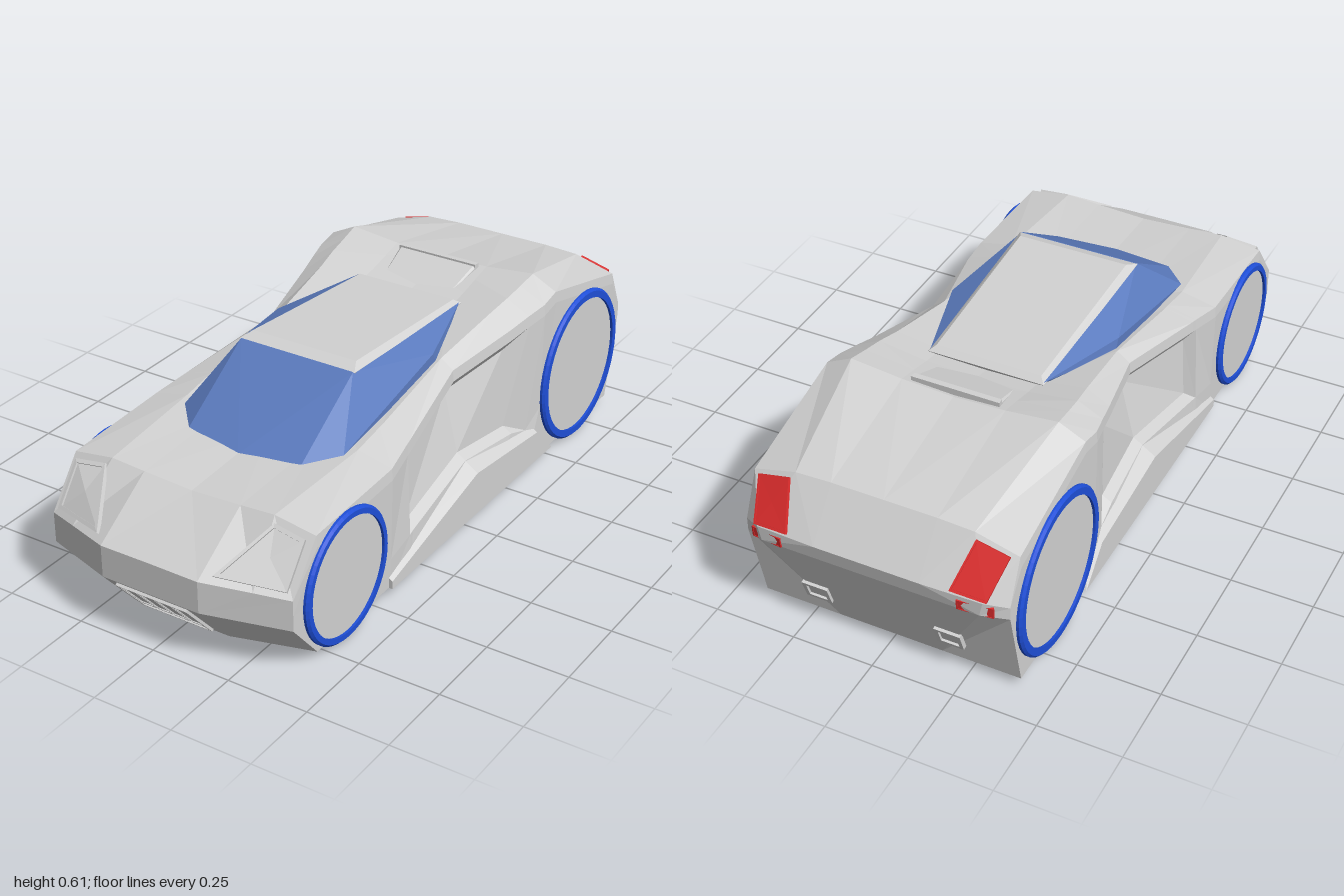
import * as THREE from 'three';
import { ConvexGeometry } from 'three/addons/geometries/ConvexGeometry.js';

const V = (x, y, z) => new THREE.Vector3(x, y, z);

// faceted geometry from a list of triangle corners
function facets(points) {
  const g = new THREE.BufferGeometry().setFromPoints(points);
  g.computeVertexNormals();
  return g;
}

// mirrored convex solid from points on the +x side
function hull(half) {
  const pts = [];
  for (const [x, y, z] of half) pts.push(V(x, y, z), V(-x, y, z));
  return new ConvexGeometry(pts);
}

// one half cross-section of the body, from the floor up to the centre line
function section(z, b, d, e, fy, gy, inset = 0, zFloor = z) {
  const c = [d[0] + 0.003, d[1] - 0.035];
  return [
    V(0.16, 0.03, zFloor), V(0.4, 0.03, z), V(b[0], b[1], z),
    V(b[0] - inset, b[1] + inset * 0.6, z), V(c[0] - inset, c[1] - inset * 1.3, z),
    V(c[0], c[1], z), V(d[0], d[1], z), V(e[0], e[1], z), V(0.16, fy, z), V(0, gy, z),
  ];
}

// blunt end of the body: a narrow upright band, bent back at the corners
function endSection(inner, corner, top, crest, middle, gy) {
  const side = [0, 0.25, 0.5, 0.75, 1].map((t) => V(corner[0], corner[1] + (top - corner[1]) * t, corner[2]));
  return [V(...inner), ...side, V(corner[0], top, corner[2]), V(...crest), V(...middle), V(0, gy, middle[2])];
}

function bodyGeometry() {
  const halves = [
    endSection([0.16, 0.18, 1], [0.4, 0.16, 0.91], 0.255, [0.3, 0.266, 0.948], [0.16, 0.279, 1], 0.28),
    section(0.8, [0.4, 0.2], [0.4, 0.397], [0.27, 0.417], 0.41, 0.402, 0, 0.87),
    section(0.43, [0.4, 0.12], [0.4, 0.412], [0.29, 0.437], 0.425, 0.42),
    section(0.32, [0.395, 0.14], [0.381, 0.43], [0.29, 0.455], 0.435, 0.43),
    section(0.3, [0.392, 0.143], [0.378, 0.433], [0.29, 0.458], 0.438, 0.432, 0.03),
    section(-0.03, [0.37, 0.2], [0.32, 0.485], [0.28, 0.515], 0.49, 0.48, 0.03),
    section(-0.28, [0.385, 0.175], [0.37, 0.522], [0.3, 0.56], 0.54, 0.535, 0.03),
    section(-0.36, [0.39, 0.15], [0.386, 0.538], [0.31, 0.577], 0.555, 0.55),
    section(-0.43, [0.4, 0.2], [0.4, 0.55], [0.315, 0.59], 0.572, 0.565),
    section(-0.5, [0.4, 0.2], [0.4, 0.565], [0.32, 0.605], 0.588, 0.58),
    section(-0.89, [0.4, 0.2], [0.4, 0.47], [0.27, 0.505], 0.51, 0.51),
    endSection([0.33, 0.32, -0.99], [0.4, 0.3, -0.95], 0.34, [0.34, 0.365, -0.99], [0.16, 0.37, -1], 0.37),
  ];
  const rings = halves.map((h) => [...h, ...h.slice(0, -1).reverse().map((p) => V(-p.x, p.y, p.z))]);
  const n = rings[0].length, last = n - 1, mid = last / 2, out = [];
  for (let i = 0; i < rings.length - 1; i++) {
    for (let j = 0; j < n; j++) {
      const k = (j + 1) % n;
      const a = rings[i][j], b = rings[i][k], c = rings[i + 1][k], d = rings[i + 1][j];
      // mirror the diagonal on the right half
      if (j < mid) out.push(a, d, c, a, c, b);
      else out.push(a, d, b, d, c, b);
    }
  }
  // end caps
  const cap = (r, flip) => {
    const tri = (a, b, c) => (flip ? out.push(r[a], r[c], r[b]) : out.push(r[a], r[b], r[c]));
    for (let k = 1; k < mid; k++) tri(0, k, k + 1);
    for (let k = mid; k < last - 1; k++) tri(last, k, k + 1);
    tri(0, mid, last);
  };
  cap(rings[0], false);
  cap(rings[rings.length - 1], true);
  return facets(out);
}

// raised rim around a plate; corners run counter-clockwise seen from outside
function framed(corners, inset, height, floor) {
  const centre = corners.reduce((s, p) => s.add(p), V(0, 0, 0)).divideScalar(corners.length);
  const normal = corners[2].clone().sub(corners[0]).cross(corners[3].clone().sub(corners[1])).normalize();
  const loop = (t, h) => corners.map((p) => p.clone().lerp(centre, t).addScaledVector(normal, h));
  const loops = [loop(0, -0.006), loop(0, height), loop(inset, height), loop(inset, floor), loop(1, floor)];
  const out = [];
  for (let i = 0; i < loops.length - 1; i++) {
    for (let j = 0; j < corners.length; j++) {
      const k = (j + 1) % corners.length;
      const a = loops[i][j], b = loops[i][k], c = loops[i + 1][k], d = loops[i + 1][j];
      out.push(a, b, c);
      if (i < loops.length - 2) out.push(a, c, d);
    }
  }
  return facets(out);
}

export function createModel() {
  const paint = new THREE.MeshStandardMaterial({ color: 0xd2d2d2 });
  paint.name = 'silver paint';
  const glass = new THREE.MeshStandardMaterial({ color: 0x5c7cc0 });
  glass.name = 'blue glass';
  const tyreBlue = new THREE.MeshStandardMaterial({ color: 0x1f4fd8 });
  tyreBlue.name = 'tyre blue';
  const red = new THREE.MeshStandardMaterial({ color: 0xdc2c2c });
  red.name = 'lamp red';

  const car = new THREE.Group();
  car.name = 'car';
  const add = (name, geometry, material, parent = car) => {
    const m = new THREE.Mesh(geometry, material);
    m.name = name;
    parent.add(m);
    return m;
  };
  // the same framed plate on both sides
  const pair = (name, corners, material, inset, height, floor) => {
    add(name + 'Left', framed(corners, inset, height, floor), material);
    const other = corners.map((p) => V(-p.x, p.y, p.z)).reverse();
    add(name + 'Right', framed(other, inset, height, floor), material);
  };

  add('body', bodyGeometry(), paint);

  // cabin
  add('windows', hull([
    [0, 0.41, 0.59], [0.19, 0.42, 0.56], [0.27, 0.433, 0.47], [0.27, 0.538, 0],
    [0.27, 0.5, -0.02], [0.18, 0.553, -0.3], [0.19, 0.59, 0.3], [0.15, 0.5, -0.3], [0.19, 0.39, 0.5],
  ]), glass);
  add('roof', hull([
    [0.175, 0.604, 0.26], [0.195, 0.589, 0.3], [0.165, 0.564, -0.29],
    [0.182, 0.55, -0.31], [0.182, 0.53, -0.3], [0.19, 0.575, 0.28],
  ]), paint);

  // engine cover ramp with a rim along its back and sides
  add('engineCover', hull([
    [0.112, 0.53, -0.3], [0.128, 0.592, -0.47], [0.137, 0.592, -0.49],
    [0.112, 0.5, -0.3], [0.137, 0.54, -0.49],
  ]), paint);
  add('engineCoverRim', hull([
    [0.135, 0.598, -0.472], [0.137, 0.598, -0.49], [0.135, 0.56, -0.472], [0.137, 0.56, -0.49],
  ]), paint);

  // side skirts
  const sill = [[0.03, 0.44], [0.055, 0.44], [0.17, -0.03], [0.13, -0.4], [0.03, -0.5]];
  for (const s of [1, -1]) {
    const pts = sill.flatMap(([y, z]) => [V(s * 0.412, y, z), V(s * 0.36, y + (y > 0.03 ? 0.035 : 0), z)]);
    add(s > 0 ? 'skirtLeft' : 'skirtRight', new ConvexGeometry(pts), paint);
  }

  // wheels
  const wheel = (name, s, y, z, r, rim) => {
    const w = new THREE.Group();
    w.name = name;
    const profile = [[r, -0.077], [r, 0.07], [r - 0.007, 0.077], [rim, 0.077], [rim, 0.068]];
    const outer = new THREE.LatheGeometry(profile.map(([a, b]) => new THREE.Vector2(a, b)), 48).toNonIndexed();
    outer.computeVertexNormals();
    add('tyre', outer, tyreBlue, w);
    add('hub', new THREE.CircleGeometry(rim + 0.002, 48).rotateX(-Math.PI / 2).translate(0, 0.069, 0), paint, w);
    add('tyreBack', new THREE.CircleGeometry(r, 48).rotateX(Math.PI / 2).translate(0, -0.077, 0), tyreBlue, w);
    w.rotation.z = -s * Math.PI / 2;
    w.position.set(s * 0.338, y, z);
    car.add(w);
  };
  for (const s of [1, -1]) {
    const side = s > 0 ? 'Left' : 'Right';
    wheel('frontWheel' + side, s, 0.2, 0.665, 0.2, 0.177);
    wheel('rearWheel' + side, s, 0.246, -0.673, 0.245, 0.217);
  }

  // headlights lie on the sloping nose
  const onNose = (x, y) => {
    const t = (x - 0.16) / 0.24, z0 = 1 - 0.09 * t, y0 = 0.28 - 0.025 * t;
    return V(x, y, z0 + (0.8 - z0) * (y - y0) / (0.412 - y0));
  };
  pair('headlight', [onNose(0.19, 0.29), onNose(0.38, 0.272), onNose(0.38, 0.387), onNose(0.28, 0.4)],
    paint, 0.14, 0.008, 0.002);

  // grille on the undercut of the nose
  const onChin = (x, y) => V(x, y, 0.87 + 0.13 * (y - 0.03) / 0.15);
  const chinRect = (x0, x1, y0, y1) => [onChin(x0, y0), onChin(x1, y0), onChin(x1, y1), onChin(x0, y1)];
  add('grilleFrame', framed(chinRect(-0.118, 0.118, 0.044, 0.172), 0.06, 0.008, 0.002), paint);
  for (let i = 0; i < 4; i++) {
    const x = -0.0855 + i * 0.057;
    add('grilleCell', framed(chinRect(x - 0.025, x + 0.025, 0.06, 0.165), 0.12, 0.006, 0.003), paint);
  }

  // tail lamps and exhausts
  pair('tailLamp', [V(0.35, 0.366, -0.985), V(0.245, 0.375, -0.993), V(0.28, 0.492, -0.902), V(0.378, 0.468, -0.9)],
    red, 0.1, 0.008, 0.005);
  pair('lowerTailLamp', [V(0.365, 0.313, -0.972), V(0.265, 0.322, -0.99), V(0.265, 0.355, -0.993), V(0.365, 0.348, -0.974)],
    red, 0.1, 0.006, 0.004);
  const onTail = (x, y) => V(x, y, -0.89 - 0.102 * (y - 0.03) / 0.29);
  pair('exhaust', [onTail(0.245, 0.1), onTail(0.165, 0.1), onTail(0.165, 0.165), onTail(0.245, 0.165)],
    paint, 0.3, 0.008, 0.001);

  return car;
}
